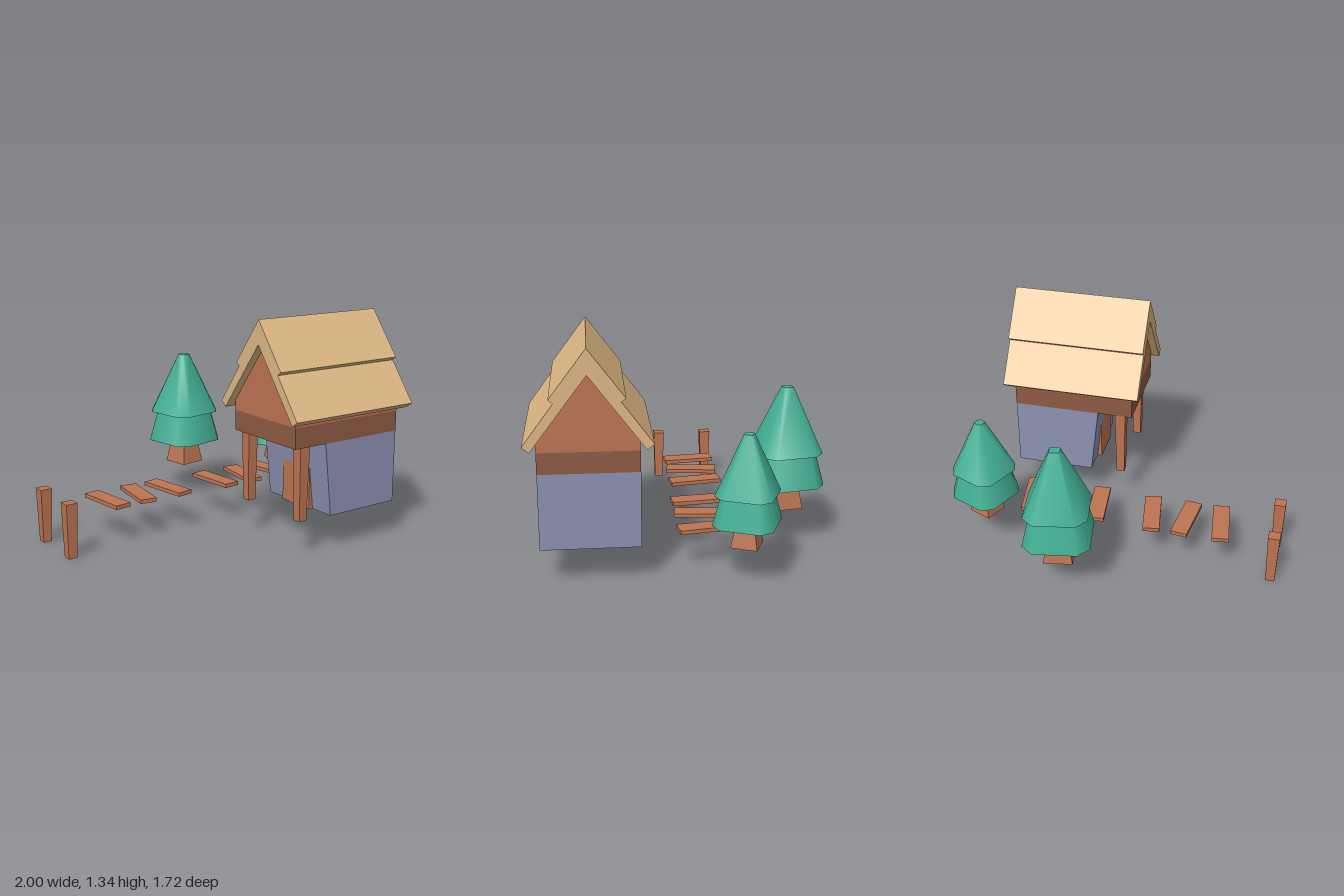
import * as THREE from 'three';
import { toCreasedNormals } from 'three/addons/utils/BufferGeometryUtils.js';
import { ConvexGeometry } from 'three/addons/geometries/ConvexGeometry.js';

function material(name, color, side = THREE.FrontSide) {
  const m = new THREE.MeshStandardMaterial({ color, side });
  m.name = name;
  return m;
}

// Box standing on y = 0 with no bottom face; the foot is scaled by taper
function openBox(w, h, d, taper = 1) {
  const g = new THREE.BoxGeometry(w, h, d).translate(0, h / 2, 0);
  const index = Array.from(g.index.array);
  index.splice(18, 6);
  g.setIndex(index);
  g.clearGroups();
  const p = g.attributes.position;
  for (let i = 0; i < p.count; i++) {
    if (p.getY(i) < h / 2) {
      p.setX(i, p.getX(i) * taper);
      p.setZ(i, p.getZ(i) * taper);
    }
  }
  g.computeVertexNormals();
  return g;
}

// Tapered block whose cross-section is a square with cut corners
function foliageTier(y0, a0, y1, a1) {
  const points = [];
  for (const [y, a] of [[y0, a0], [y1, a1]]) {
    const b = a * 0.66;
    for (const sx of [-1, 1]) for (const sz of [-1, 1]) {
      points.push(new THREE.Vector3(sx * a, y, sz * b), new THREE.Vector3(sx * b, y, sz * a));
    }
  }
  return toCreasedNormals(new ConvexGeometry(points), 0.95);
}

// Profile of [z, y] points extruded along x from x0 to x1
function extrudeAlongX(points, x0, x1) {
  const shape = new THREE.Shape(points.map(([z, y]) => new THREE.Vector2(-z, y)));
  const g = new THREE.ExtrudeGeometry(shape, { depth: x1 - x0, bevelEnabled: false });
  return g.rotateY(Math.PI / 2).translate(x0, 0, 0);
}

export function createModel() {
  const model = new THREE.Group();
  model.name = 'hutWithWalkway';
  const wood = material('wood', 0xbd7453, THREE.DoubleSide);
  const darkWood = material('darkWood', 0x8f5a43);
  const stone = material('stone', 0x8c91b1, THREE.DoubleSide);
  const straw = material('straw', 0xdeb884);
  const leaf = material('leaf', 0x43b095);

  const add = (parent, name, geometry, mat, x = 0, y = 0, z = 0) => {
    const mesh = new THREE.Mesh(geometry, mat);
    mesh.name = name;
    mesh.position.set(x, y, z);
    parent.add(mesh);
    return mesh;
  };

  const ground = 0.22;
  const houseZ = 0.515;

  // House, with its own z centred on the ridge
  const house = new THREE.Group();
  house.name = 'house';
  house.position.z = houseZ;
  model.add(house);

  // Walls: the porch side leans outwards towards the top
  const walls = openBox(0.54, 0.43, 0.55);
  const wp = walls.attributes.position;
  for (let i = 0; i < wp.count; i++) {
    if (wp.getX(i) < 0 && wp.getY(i) < 0.1) wp.setX(i, wp.getX(i) + 0.05);
  }
  walls.computeVertexNormals();
  add(house, 'walls', walls, stone, 0.51, ground, 0);

  // Door and sill on the porch side
  add(house, 'door', new THREE.BoxGeometry(0.05, 0.265, 0.24), wood, 0.286, ground + 0.138, 0);
  add(house, 'doorSill', new THREE.BoxGeometry(0.04, 0.006, 0.24), stone, 0.28, ground + 0.003, 0);

  // Beam band, gable and porch posts
  add(house, 'beam', new THREE.BoxGeometry(0.76, 0.12, 0.55), darkWood, 0.4, 0.71, 0);
  const gable = [[-0.275, 0.77], [0.275, 0.77], [0.275, 0.83], [0, 1.195], [-0.275, 0.83]];
  add(house, 'gable', extrudeAlongX(gable, 0.02, 0.78), wood);
  for (const z of [-0.235, 0.235]) {
    add(house, 'porchPost', openBox(0.067, 0.43, 0.067, 0.75), wood, 0.098, ground, z);
  }

  // Two-layered thatched roof, mirrored about the ridge
  const slope = [[0.2, 1.07], [0.175, 1.05], [0.345, 0.82], [0.305, 0.79]];
  const mirrored = slope.map(([z, y]) => [-z, y]).reverse();
  const roof = [[0, 1.335], ...slope, [0, 1.195], ...mirrored];
  add(house, 'roof', extrudeAlongX(roof, -0.03, 0.835), straw);

  // Walkway planks: x, z, turn
  const planks = [
    [-0.63, -0.153, 0.125], [-0.418, -0.155, -0.125], [-0.205, -0.155, 0.16],
    [0.138, -0.135, 0.11], [0.352, -0.135, -0.12], [0.567, -0.134, 0.16],
  ];
  for (const [x, z, turn] of planks) {
    add(model, 'plank', openBox(0.102, 0.024, 0.32), wood, x, ground, z).rotation.y = turn;
  }

  // Mooring posts at the far end
  for (const z of [-0.307, 0.018]) {
    add(model, 'mooringPost', openBox(0.07, 0.325, 0.07, 0.75), wood, -0.965, 0, z);
  }

  // Trees: x, z, turn, scale
  for (const [x, z, turn, scale] of [[0.24, -0.645, 0.175, 1], [0.8, -0.33, -0.4, 0.86]]) {
    const tree = new THREE.Group();
    tree.name = 'tree';
    tree.position.set(x, ground, z);
    tree.rotation.y = turn;
    tree.scale.setScalar(scale);
    add(tree, 'trunk', openBox(0.116, 0.17, 0.116, 1.48), wood);
    add(tree, 'lowerFoliage', foliageTier(0.156, 0.195, 0.37, 0.145), leaf);
    add(tree, 'upperFoliage', foliageTier(0.35, 0.184, 0.735, 0.03), leaf);
    model.add(tree);
  }
  return model;
}
